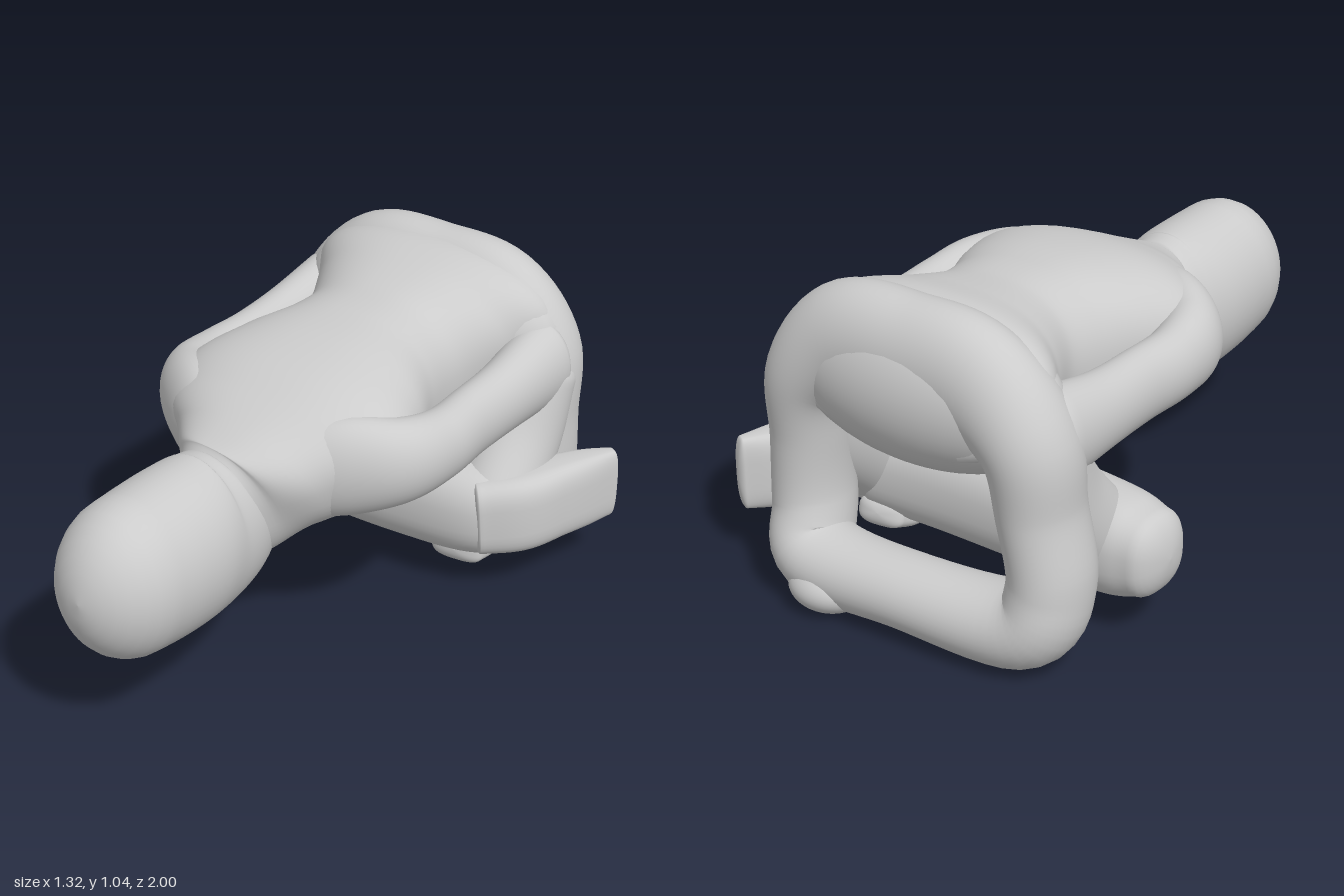
import * as THREE from 'three';

const material = new THREE.MeshStandardMaterial({ color: 0xcccccc });

// Sweeps an ellipse along a smooth path. Station: [x, y, z, half width, half height].
// Height follows "up"; power above 2 makes the section boxier; open ends get a round cap.
function sweep(name, stations, { up = [0, 1, 0], closed = false, cap = 0.08, power = 2, sides = 40 } = {}) {
  const path = new THREE.CatmullRomCurve3(stations.map(s => new THREE.Vector3(s[0], s[1], s[2])), closed, 'catmullrom');
  const size = new THREE.CatmullRomCurve3(stations.map(s => new THREE.Vector3(s[3], s[4], 0)), closed, 'catmullrom');
  const upward = new THREE.Vector3(...up);
  const rings = [];
  const capSteps = 8, steps = stations.length * 8;
  const addRing = (u, shift, scale) => {
    const t = path.getTangent(u), r = size.getPoint(u);
    rings.push({ c: path.getPoint(u).addScaledVector(t, shift), t, w: r.x * scale, h: r.y * scale });
  };
  if (!closed) {
    for (let i = 0; i < capSteps; i++) {
      const a = (1 - i / capSteps) * Math.PI / 2;
      addRing(0, -cap * Math.sin(a), Math.cos(a));
    }
  }
  for (let i = 0; i < steps + (closed ? 0 : 1); i++) addRing(i / steps, 0, 1);
  if (!closed) {
    for (let i = 1; i <= capSteps; i++) {
      const a = i / capSteps * Math.PI / 2;
      addRing(1, cap * Math.sin(a), Math.cos(a));
    }
  }

  const positions = [], index = [];
  const bend = v => Math.sign(v) * Math.pow(Math.abs(v), 2 / power);
  for (const { c, t, w, h } of rings) {
    const side = new THREE.Vector3().crossVectors(upward, t).normalize();
    const top = new THREE.Vector3().crossVectors(t, side);
    for (let j = 0; j < sides; j++) {
      const a = j / sides * Math.PI * 2;
      const p = c.clone().addScaledVector(side, w * bend(Math.cos(a))).addScaledVector(top, h * bend(Math.sin(a)));
      positions.push(p.x, p.y, p.z);
    }
  }
  const n = rings.length;
  for (let i = 0; i < (closed ? n : n - 1); i++) {
    for (let j = 0; j < sides; j++) {
      const k = (j + 1) % sides, next = (i + 1) % n;
      const a = i * sides + j, b = i * sides + k, c = next * sides + j, d = next * sides + k;
      index.push(a, b, c, b, d, c);
    }
  }
  const geometry = new THREE.BufferGeometry();
  geometry.setAttribute('position', new THREE.Float32BufferAttribute(positions, 3));
  geometry.setIndex(index);
  geometry.computeVertexNormals();
  const mesh = new THREE.Mesh(geometry, material);
  mesh.name = name;
  return mesh;
}

// Station across the z axis from its lower and upper height.
const slice = (z, w, bottom, top, x = 0) => [x, (bottom + top) / 2, z, w, (top - bottom) / 2];

function blob(name, position, scale) {
  const mesh = new THREE.Mesh(new THREE.SphereGeometry(1, 40, 24), material);
  mesh.name = name;
  mesh.position.set(...position);
  mesh.scale.set(...scale);
  return mesh;
}

export function createModel() {
  const model = new THREE.Group();

  // Trunk, lying forward from the hips to the neck
  model.add(sweep('torso', [
    slice(-0.82, 0.42, 0.6, 1.03),
    slice(-0.74, 0.44, 0.55, 1.03),
    slice(-0.62, 0.37, 0.5, 1.0),
    slice(-0.45, 0.3, 0.45, 0.965),
    slice(-0.28, 0.31, 0.44, 0.955),
    slice(-0.12, 0.375, 0.455, 0.945),
    slice(0.02, 0.42, 0.455, 0.92),
    slice(0.13, 0.38, 0.45, 0.875),
    slice(0.23, 0.28, 0.425, 0.825),
    slice(0.32, 0.185, 0.365, 0.785, -0.01),
    slice(0.42, 0.13, 0.37, 0.72, -0.02),
  ], { cap: 0.07, power: 2.35, sides: 56 }));
  model.add(blob('pelvis', [0, 0.77, -0.74], [0.47, 0.25, 0.21]));

  // Head, face down
  model.add(sweep('head', [
    slice(0.27, 0.13, 0.4, 0.75, -0.01),
    slice(0.35, 0.17, 0.305, 0.775, -0.015),
    slice(0.45, 0.187, 0.258, 0.776, -0.02),
    slice(0.56, 0.207, 0.26, 0.778, -0.02),
    slice(0.67, 0.21, 0.268, 0.778, -0.02),
    slice(0.78, 0.205, 0.282, 0.778, -0.02),
  ], { cap: 0.22, sides: 48 }));
  model.add(blob('nose', [-0.02, 0.285, 0.53], [0.035, 0.04, 0.06]));

  // Arms curve out of the chest and run back to the hips
  for (const s of [-1, 1]) {
    model.add(sweep('arm', [
      [s * 0.1, 0.65, 0.215, 0.1, 0.15],
      [s * 0.28, 0.685, 0.125, 0.1, 0.16],
      [s * 0.39, 0.69, 0.02, 0.1, 0.137],
      [s * 0.425, 0.685, -0.13, 0.09, 0.117],
      [s * 0.42, 0.685, -0.3, 0.085, 0.115],
      [s * 0.42, 0.69, -0.5, 0.092, 0.12],
      [s * 0.41, 0.7, -0.72, 0.11, 0.15],
    ], { cap: 0.06 }));

    // Knee between the thigh and the front shin, wider on the left
    const w = s > 0 ? 0.135 : 0.115;
    model.add(sweep('knee', [
      [s * 0.39, 0.66, -0.73, w, 0.13],
      [s * 0.39, 0.47, -0.65, w, 0.15],
      [s * 0.4, 0.3, -0.5, w, 0.14],
    ], { up: [0, 0, 1], cap: 0.08 }));
  }

  // Hips, both thighs and the rear shin form one closed loop
  model.add(sweep('hipsAndThighs', [
    [0, 0.86, -0.78, 0.18, 0.14],
    [0.22, 0.84, -0.78, 0.18, 0.14],
    [0.365, 0.71, -0.78, 0.14, 0.15],
    [0.395, 0.5, -0.77, 0.118, 0.14],
    [0.395, 0.28, -0.78, 0.115, 0.14],
    [0.33, 0.14, -0.84, 0.12, 0.135],
    [0, 0.13, -0.845, 0.11, 0.125],
    [-0.38, 0.14, -0.815, 0.125, 0.14],
    [-0.455, 0.28, -0.775, 0.12, 0.145],
    [-0.42, 0.5, -0.77, 0.12, 0.145],
    [-0.385, 0.71, -0.78, 0.14, 0.15],
    [-0.22, 0.84, -0.78, 0.18, 0.14],
  ], { up: [0, 0, 1], closed: true }));
  model.add(blob('rearToes', [0.26, 0.085, -0.885], [0.13, 0.08, 0.115]));

  // Front shin crossing the body
  model.add(sweep('frontShin', [
    [-0.58, 0.27, -0.465, 0.125, 0.13],
    [-0.47, 0.27, -0.46, 0.145, 0.155],
    [-0.2, 0.28, -0.455, 0.148, 0.165],
    [0.1, 0.285, -0.455, 0.148, 0.165],
    [0.36, 0.285, -0.475, 0.14, 0.155],
    [0.46, 0.29, -0.52, 0.1, 0.13],
  ], { cap: 0.07, power: 2.4 }));

  // Front foot, turned backward and thinning to the toes
  model.add(sweep('frontFoot', [
    [0.38, 0.285, -0.43, 0.1, 0.13],
    [0.48, 0.295, -0.52, 0.1, 0.135],
    [0.545, 0.3, -0.64, 0.08, 0.132],
    [0.595, 0.3, -0.74, 0.06, 0.128],
    [0.64, 0.3, -0.82, 0.032, 0.12],
  ], { cap: 0.02, power: 3.5 }));

  // Hands tucked under the shin
  for (const s of [-1, 1]) {
    model.add(sweep('hand', [
      [s * 0.33, 0.145, -0.41, 0.09, 0.045],
      [s * 0.32, 0.14, -0.5, 0.1, 0.05],
      [s * 0.31, 0.16, -0.58, 0.08, 0.045],
    ], { cap: 0.03, power: 3 }));
  }

  return model;
}
